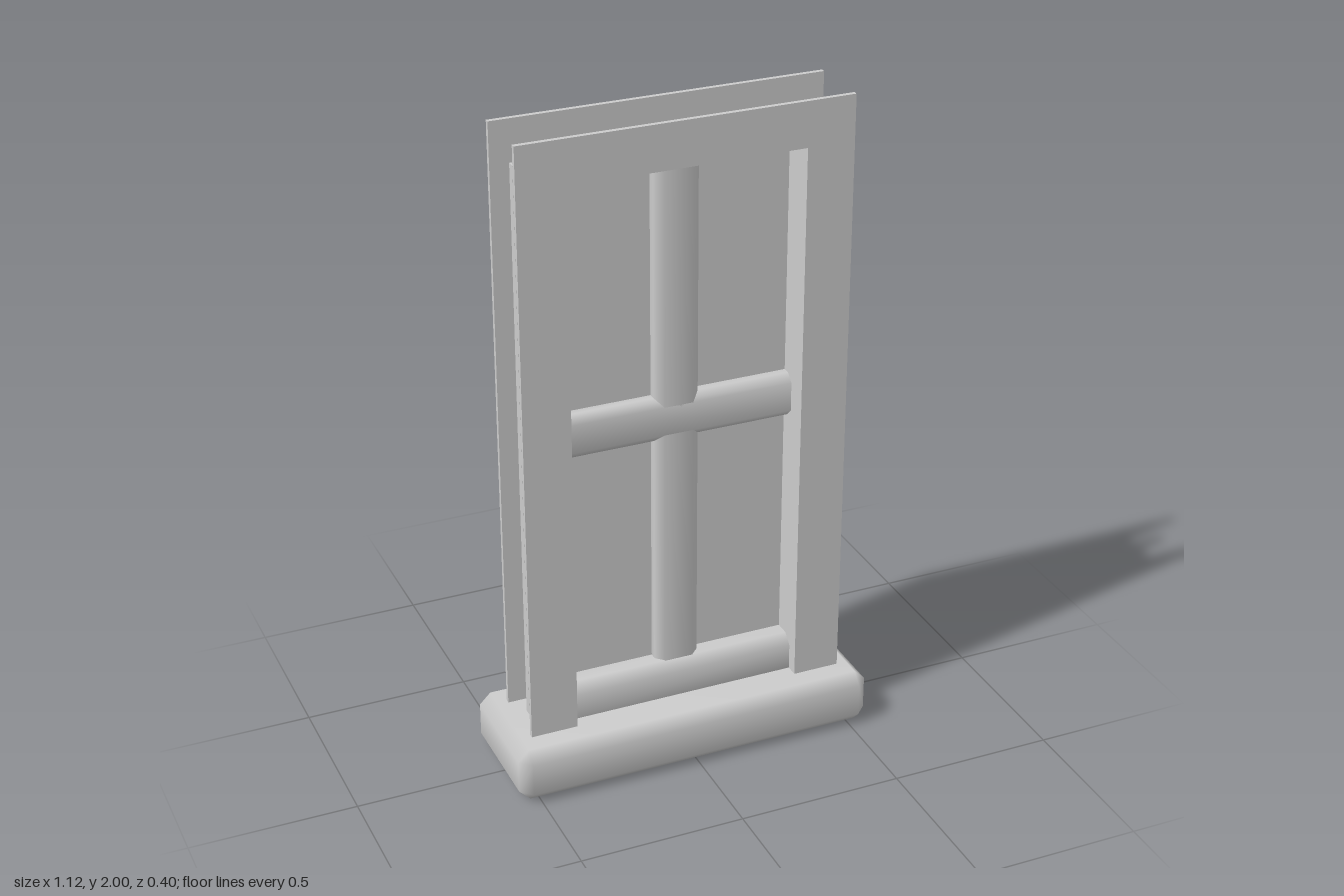
import * as THREE from 'three';
import { mergeVertices } from 'three/addons/utils/BufferGeometryUtils.js';
import { ConvexGeometry } from 'three/addons/geometries/ConvexGeometry.js';

// Box with cut edges and soft, shared normals
function chamferedBox(w, h, d, c) {
  const x = w / 2, y = h / 2, z = d / 2;
  const points = [];
  for (const sx of [-1, 1]) for (const sy of [-1, 1]) for (const sz of [-1, 1]) {
    points.push(
      new THREE.Vector3(sx * x, sy * (y - c), sz * (z - c)),
      new THREE.Vector3(sx * (x - c), sy * y, sz * (z - c)),
      new THREE.Vector3(sx * (x - c), sy * (y - c), sz * z),
    );
  }
  let geometry = new ConvexGeometry(points);
  geometry.deleteAttribute('normal');
  geometry = mergeVertices(geometry, 1e-4);
  geometry.computeVertexNormals();
  return geometry;
}

// Upside-down U outline, open at the sill
function archOutline(outerX, outerTop, innerX, innerTop, bottom) {
  return new THREE.Shape([
    [-outerX, bottom], [-innerX, bottom], [-innerX, innerTop], [innerX, innerTop],
    [innerX, bottom], [outerX, bottom], [outerX, outerTop], [-outerX, outerTop],
  ].map(([x, y]) => new THREE.Vector2(x, y)));
}

export function createModel() {
  const model = new THREE.Group();
  model.name = 'window';
  const grey = new THREE.MeshStandardMaterial({ color: 0xcccccc });
  grey.name = 'light grey';

  function add(name, geometry, x, y, z) {
    const mesh = new THREE.Mesh(geometry, grey);
    mesh.name = name;
    mesh.position.set(x, y, z);
    model.add(mesh);
  }

  const sillTop = 0.17, base = 0.15;

  // Heavy sill
  add('sill', chamferedBox(1.12, sillTop, 0.396, 0.034), 0, sillTop / 2, 0);

  // Flat casings on both faces of the wall
  const casing = new THREE.ExtrudeGeometry(
    archOutline(0.495, 2, 0.352, 1.865, base), { depth: 0.014, bevelEnabled: false });
  add('frontCasing', casing, 0, 0, 0.092);
  add('backCasing', casing, 0, 0, -0.106);

  // Lining joining the casings around the opening
  const lining = new THREE.ExtrudeGeometry(
    archOutline(0.365, 1.88, 0.352, 1.865, base), { depth: 0.184, bevelEnabled: false });
  add('lining', lining, 0, 0, -0.092);

  // Pane
  add('pane', new THREE.BoxGeometry(0.92, 1.9 - base, 0.024), 0, (1.9 + base) / 2, -0.019);

  // Glazing bars and bottom rail
  add('verticalBar', chamferedBox(0.136, 1.885 - base, 0.078, 0.024), 0, (1.885 + base) / 2, 0);
  add('horizontalBar', chamferedBox(0.82, 0.136, 0.078, 0.024), 0, 1.078, 0);
  add('bottomRail', chamferedBox(0.82, 0.14, 0.135, 0.03), 0, 0.21, 0);

  return model;
}
